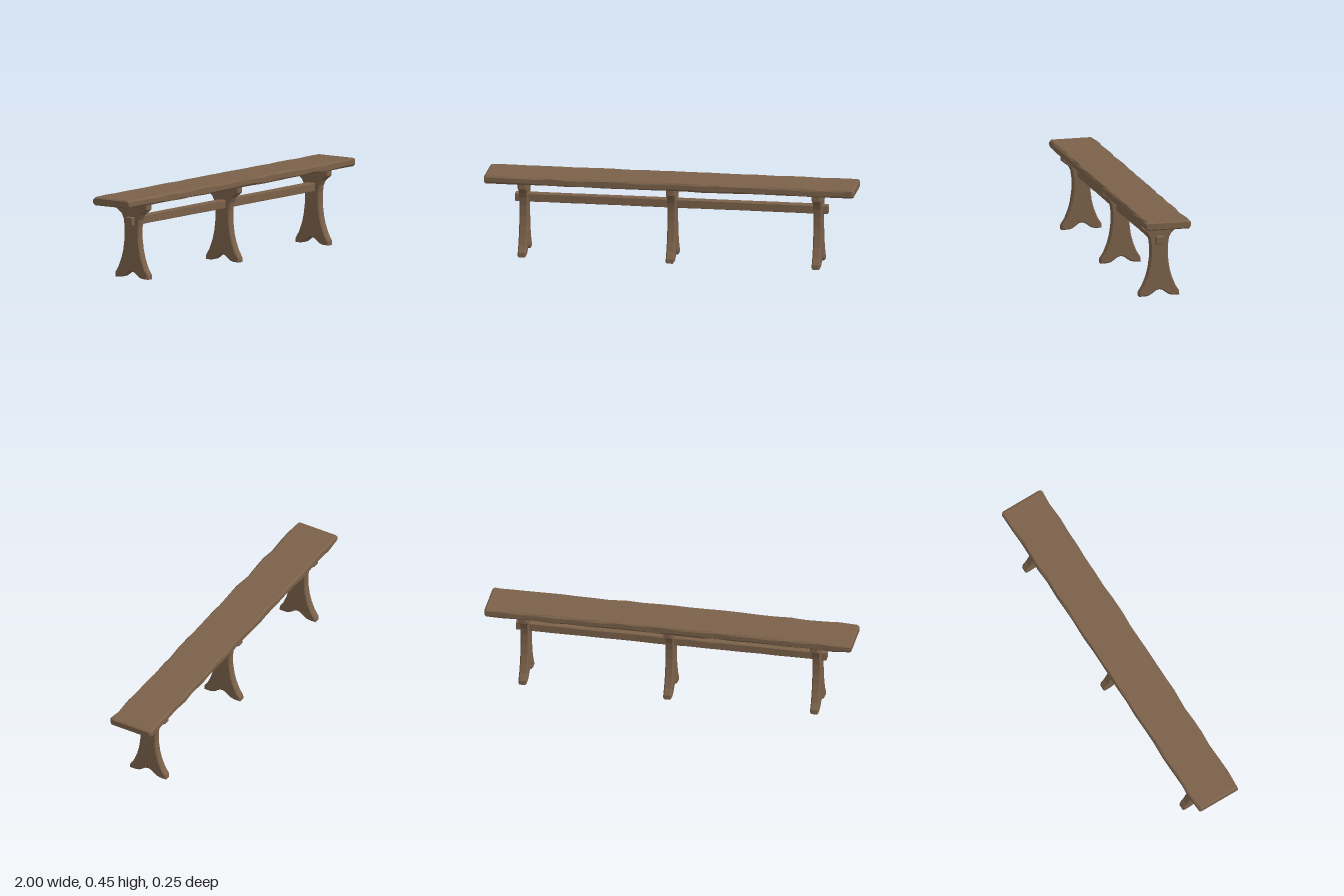
import * as THREE from 'three';

const wood = new THREE.MeshStandardMaterial({ color: 0x7b614a, flatShading: true });
wood.name = 'brownWood';

// Seeded random numbers for the hand-hewn edges
function makeRandom(seed) {
  return () => (seed = (seed * 16807) % 2147483647) / 2147483647;
}

// Rough beam along x: chamfered cross-sections with uneven edges
function hewnBeam(name, halfX, halfZ, y0, y1, chamfer, rough, segments, seed) {
  const rand = makeRandom(seed);
  const positions = [], index = [];
  const ring = (x, inset) => {
    const front = halfZ - inset - rand() * rough;
    const back = -halfZ + inset + rand() * rough;
    const top = y1 - inset - rand() * rough * 0.15;
    const bottom = y0 + inset;
    const c = Array.from({ length: 8 }, () => chamfer * (0.35 + 0.9 * rand()));
    const section = [
      [top, back + c[0]], [top, front - c[1]],
      [top - c[2], front], [bottom + c[3], front],
      [bottom, front - c[4]], [bottom, back + c[5]],
      [bottom + c[6], back], [top - c[7], back],
    ];
    for (const [y, z] of section) positions.push(x, y, z);
  };

  ring(-halfX, chamfer * 0.6);
  for (let i = 0; i <= segments; i++) {
    const t = i / segments * 2 - 1;
    const jitter = i > 0 && i < segments ? (rand() - 0.5) * 0.6 / segments : 0;
    ring((halfX - chamfer * 0.8) * (t + jitter), 0);
  }
  ring(halfX, chamfer * 0.6);

  const rings = segments + 3;
  for (let i = 0; i < rings - 1; i++) {
    for (let j = 0; j < 8; j++) {
      const a = i * 8 + j, b = i * 8 + (j + 1) % 8;
      index.push(a, b, a + 8, b, b + 8, a + 8);
    }
  }
  // End caps
  const last = (rings - 1) * 8;
  for (let j = 1; j < 7; j++) {
    index.push(0, j + 1, j, last, last + j, last + j + 1);
  }

  const geometry = new THREE.BufferGeometry();
  geometry.setAttribute('position', new THREE.Float32BufferAttribute(positions, 3));
  geometry.setIndex(index);
  const flat = geometry.toNonIndexed();
  flat.computeVertexNormals();
  const mesh = new THREE.Mesh(flat, wood);
  mesh.name = name;
  return mesh;
}

// Trestle board: splayed feet, narrow waist and wide head
function trestleGeometry() {
  const half = [
    [0.018, 0.031], [0.035, 0.018], [0.053, 0.006], [0.072, 0.001], [0.111, 0],
    [0.110, 0.024], [0.088, 0.058], [0.068, 0.108], [0.056, 0.155],
    [0.048, 0.215], [0.048, 0.275], [0.054, 0.318], [0.067, 0.345],
    [0.107, 0.376], [0.107, 0.406],
  ];
  const mirrored = half.map(([z, y]) => [-z, y]).reverse();
  const outline = [[0, 0.036], ...half, ...mirrored];
  const shape = new THREE.Shape(outline.map(([z, y]) => new THREE.Vector2(z, y)));
  const bevel = 0.006, thickness = 0.045;
  const geometry = new THREE.ExtrudeGeometry(shape, {
    depth: thickness - 2 * bevel, bevelEnabled: true, bevelSegments: 1,
    bevelSize: bevel, bevelThickness: bevel, bevelOffset: -bevel,
  });
  geometry.translate(0, 0, bevel - thickness / 2);
  geometry.rotateY(Math.PI / 2);
  return geometry;
}

export function createModel() {
  const bench = new THREE.Group();
  bench.name = 'bench';

  // Seat plank and the rail running through the trestles
  bench.add(hewnBeam('seat', 1, 0.127, 0.405, 0.45, 0.011, 0.007, 22, 71));
  bench.add(hewnBeam('rail', 0.847, 0.025, 0.287, 0.332, 0.004, 0.003, 18, 913));

  // Three trestle legs
  const geometry = trestleGeometry();
  [['rightLeg', -0.797], ['middleLeg', 0.004], ['leftLeg', 0.794]].forEach(([name, x]) => {
    const leg = new THREE.Mesh(geometry, wood);
    leg.name = name;
    leg.position.x = x;
    bench.add(leg);
  });

  return bench;
}
